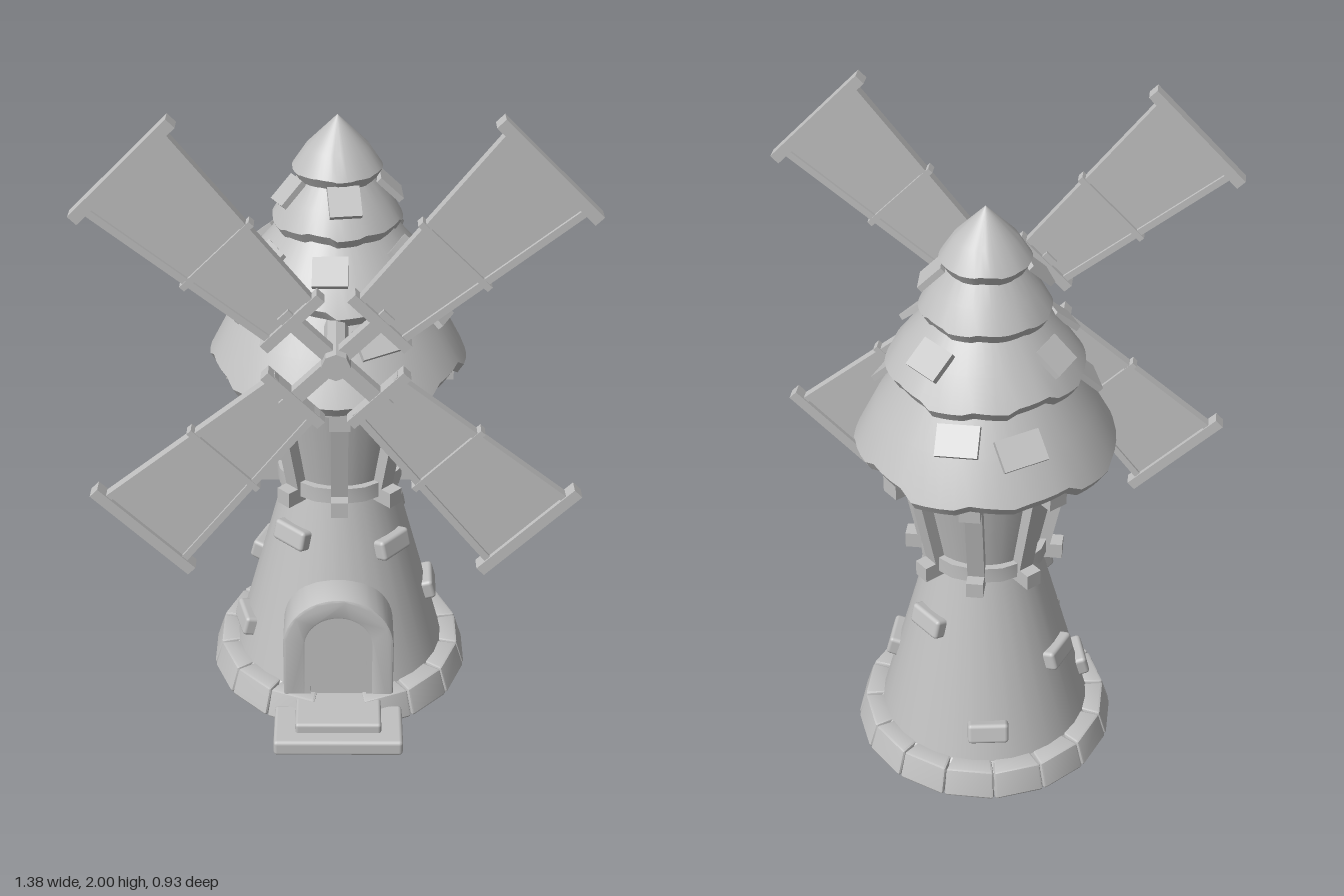
import * as THREE from 'three';
import { toCreasedNormals } from 'three/addons/utils/BufferGeometryUtils.js';
import { RoundedBoxGeometry } from 'three/addons/geometries/RoundedBoxGeometry.js';

const clay = new THREE.MeshStandardMaterial({ color: 0xc0c0c0 });
clay.name = 'clay grey';
const rad = THREE.MathUtils.degToRad;

function add(parent, name, geometry, x = 0, y = 0, z = 0) {
  const mesh = new THREE.Mesh(geometry, clay);
  mesh.name = name;
  mesh.position.set(x, y, z);
  parent.add(mesh);
  return mesh;
}

// Put a part around the tower axis, facing outward and leaning by tilt
function around(mesh, deg, r, y, tilt = 0, roll = 0) {
  const a = rad(deg);
  mesh.position.set(Math.sin(a) * r, y, Math.cos(a) * r);
  mesh.rotation.set(tilt, a, roll, 'YXZ');
  return mesh;
}

function lathe(points, segments) {
  return new THREE.LatheGeometry(points.map(p => new THREE.Vector2(p[0], p[1])), segments);
}

function group(parent, name, x, y, z) {
  const g = new THREE.Group();
  g.name = name;
  g.position.set(x, y, z);
  parent.add(g);
  return g;
}

// Arch outline standing on y = 0
function archPath(Type, half, top) {
  const p = new Type();
  p.moveTo(-half, 0);
  p.lineTo(half, 0);
  p.lineTo(half, top - half);
  p.absarc(0, top - half, half, 0, Math.PI, false);
  p.lineTo(-half, 0);
  return p;
}

function arch(half, top, depth, innerHalf, innerTop, bevel) {
  const shape = archPath(THREE.Shape, half - bevel, top - bevel);
  if (innerHalf) shape.holes.push(archPath(THREE.Path, innerHalf + bevel, innerTop + bevel));
  return new THREE.ExtrudeGeometry(shape, {
    depth: depth - bevel, bevelEnabled: bevel > 0, bevelSize: bevel, bevelThickness: bevel, bevelSegments: 2, curveSegments: 12,
  });
}

function buildTower(root) {
  const tower = group(root, 'tower', 0.01, 0, -0.065);
  add(tower, 'lowerWall', toCreasedNormals(lathe([[0, 0.004], [0.375, 0.004], [0.36, 0.05], [0.326, 0.085], [0.165, 0.69]], 32), 0.4));
  add(tower, 'upperWall', lathe([[0.165, 0.7], [0.24, 1.08]], 32));

  // Sloping foundation stones, left out behind the door steps
  const stones = 16;
  for (let i = 1; i < stones; i++) {
    const geo = new RoundedBoxGeometry(0.153, 0.088, 0.1, 1, 0.008);
    const p = geo.attributes.position;
    for (let v = 0; v < p.count; v++) {
      const high = p.getY(v) > 0, outer = p.getZ(v) > 0;
      p.setX(v, p.getX(v) * (outer ? (high ? 0.95 : 1) : 0.75));
      if (high && outer) p.setZ(v, p.getZ(v) - 0.022);
    }
    geo.computeVertexNormals();
    around(add(tower, 'foundationStone', toCreasedNormals(geo, 0.5)), i * 360 / stones, 0.35, 0.044);
  }

  // Loose bricks proud of the wall: angle, height
  const bricks = [[-44, 0.55], [48, 0.515], [137, 0.5], [89, 0.28], [-171, 0.19], [-75, 0.19], [-112, 0.36]];
  for (const [deg, y] of bricks) {
    const brick = add(tower, 'brick', new RoundedBoxGeometry(0.125, 0.065, 0.05, 2, 0.012));
    around(brick, deg, 0.352 - 0.27 * y, y, -0.26);
  }

  // Two timber rings with protruding beam ends
  for (const [r, y, h, out, by, size] of [[0.195, 0.715, 0.05, 0.238, 0.695, 0.05], [0.28, 1.065, 0.06, 0.338, 1.055, 0.06]]) {
    const ring = lathe([[r - 0.05, y - h / 2], [r, y - h / 2], [r, y + h / 2], [r - 0.05, y + h / 2]], 16);
    add(tower, 'timberRing', toCreasedNormals(ring, 0.5));
    for (let i = 0; i < 8; i++)
      around(add(tower, 'beamEnd', new THREE.BoxGeometry(size, size, 0.12)), i * 45, out - 0.06, by);
  }

  // Leaning posts between the rings
  for (let i = 0; i < 8; i++)
    around(add(tower, 'post', new THREE.BoxGeometry(0.05, 0.36, 0.045)), i * 45, 0.213, 0.89, 0.2);
}

function buildRoof(root) {
  const roof = group(root, 'roof', 0.003, 0, -0.077);
  // Tiers: bottom radius, bottom y, top radius, top y, roughness of the rim, outward bulge
  const tiers = [
    [0.375, 1.085, 0.2, 1.4, 0.034, 0.01],
    [0.282, 1.335, 0.13, 1.56, 0.026, 0.008],
    [0.186, 1.515, 0.08, 1.7, 0.014, 0.006],
    [0.128, 1.66, 0, 1.84, 0.006, 0.012],
  ];
  const drops = [0, 0.6, -0.3, 0.9, 0.2, -0.5, 0.7, 0.1, -0.2, 0.8, 0.3, -0.4, 0.5, -0.1];
  const perPlate = 4, N = drops.length * perPlate, rows = 5;
  tiers.forEach(([r0, y0, r1, y1, rough, bulge], k) => {
    const rim = 0.03;
    const rm = r0 * 0.6 + r1 * 0.4 + bulge, ym = y0 + rim + (y1 - y0 - rim) * 0.4;
    const geo = lathe([[Math.max(r1 - 0.04, 0), y1 - 0.05], [r0 - 0.018, y0], [r0, y0 + rim], [rm, ym], [r1, y1]], N);
    // Uneven slanted plate ends along the rim
    const p = geo.attributes.position;
    for (let i = 0; i <= N; i++) {
      const j = i % N, plate = Math.floor(j / perPlate);
      const slant = (j % perPlate) / (perPlate - 1) - 0.5;
      const d = (drops[(plate + k * 3) % drops.length] + slant * (plate % 2 ? 0.5 : -0.4)) * rough;
      for (const row of [1, 2]) {
        const v = i * rows + row, s = 1 + d * 0.6;
        p.setXYZ(v, p.getX(v) * s, p.getY(v) - d * 0.7, p.getZ(v) * s);
      }
    }
    add(roof, 'roofTier', toCreasedNormals(geo, 0.5));
  });

  // Lifted shingles: tier, angle, height, width, roll
  const shingles = [
    [0, 22, 1.275, 0.12, 0.1], [0, 75, 1.275, 0.11, -0.12], [0, 172, 1.275, 0.12, 0.08], [0, -75, 1.29, 0.11, 0.1], [0, -155, 1.25, 0.13, 0.12],
    [1, -5, 1.46, 0.1, 0.05], [1, 62, 1.46, 0.11, 0.12], [1, 145, 1.46, 0.11, -0.1], [1, -60, 1.45, 0.1, -0.1], [1, -118, 1.45, 0.1, 0.1],
    [2, 8, 1.635, 0.09, 0], [2, 92, 1.63, 0.09, 0.03], [2, -70, 1.63, 0.08, 0.1],
  ];
  for (const [k, deg, y, w, roll] of shingles) {
    const [r0, y0, r1, y1] = tiers[k];
    const r = r0 + (r1 - r0) * (y - y0) / (y1 - y0) + 0.026;
    const tilt = -Math.atan2(r0 - r1, y1 - y0) - 0.28;
    around(add(roof, 'shingle', new THREE.BoxGeometry(w, 0.09, 0.018)), deg, r, y, tilt, roll);
  }
}

function buildDoor(root) {
  const door = group(root, 'doorway', 0.007, 0, 0);
  add(door, 'doorSurround', toCreasedNormals(arch(0.168, 0.435, 0.25, 0.1, 0.365, 0.008), 0.6), 0, 0.005, 0.022);
  add(door, 'doorFrame', arch(0.108, 0.373, 0.2, 0.085, 0.35, 0), 0, 0.005, 0.07);
  add(door, 'doorPanel', arch(0.09, 0.355, 0.2, 0, 0, 0), 0, 0.005, 0.064);
  add(door, 'lowerStep', new RoundedBoxGeometry(0.39, 0.052, 0.18, 2, 0.012), 0, 0.027, 0.37);
  add(door, 'upperStep', new RoundedBoxGeometry(0.26, 0.04, 0.16, 2, 0.01), 0, 0.064, 0.335);
}

function buildSails(root) {
  const sails = group(root, 'sails', 0, 1.31, 0.372);
  const axle = add(sails, 'axle', new THREE.CylinderGeometry(0.034, 0.034, 0.4, 8).toNonIndexed(), 0, 0, -0.165);
  axle.rotation.x = Math.PI / 2;
  axle.geometry.computeVertexNormals();
  const hub = add(sails, 'hub', toCreasedNormals(new THREE.CylinderGeometry(0.04, 0.04, 0.08, 8), 0.5), 0, 0, 0.008);
  hub.rotation.x = Math.PI / 2;

  for (let i = 0; i < 4; i++) {
    const sail = group(sails, 'sail', 0, 0, 0);
    sail.rotation.z = Math.PI / 4 + i * Math.PI / 2;
    // Blade runs along local +y
    const cloth = new THREE.Shape([[-0.078, 0.17], [0.078, 0.17], [0.146, 0.77], [-0.146, 0.77]].map(p => new THREE.Vector2(...p)));
    add(sail, 'sailCloth', new THREE.ExtrudeGeometry(cloth, { depth: 0.016, bevelEnabled: false }), 0, 0, -0.008);
    add(sail, 'spoke', new THREE.BoxGeometry(0.042, 0.2, 0.036), 0, 0.1, 0);
    for (const [y, half, h, t] of [[0.165, 0.108, 0.03, 0.044], [0.44, 0.132, 0.018, 0.038], [0.772, 0.187, 0.032, 0.044]])
      add(sail, 'crossbar', new THREE.BoxGeometry(half * 2, h, t), 0, y, 0);
    for (const s of [-1, 1]) {
      const rail = add(sail, 'rail', new THREE.BoxGeometry(0.02, 0.64, 0.034), s * 0.112, 0.467, 0);
      rail.rotation.z = -s * Math.atan2(0.068, 0.6);
    }
  }
}

export function createModel() {
  const root = new THREE.Group();
  root.name = 'windmill';
  buildTower(root);
  buildRoof(root);
  buildDoor(root);
  buildSails(root);
  return root;
}
